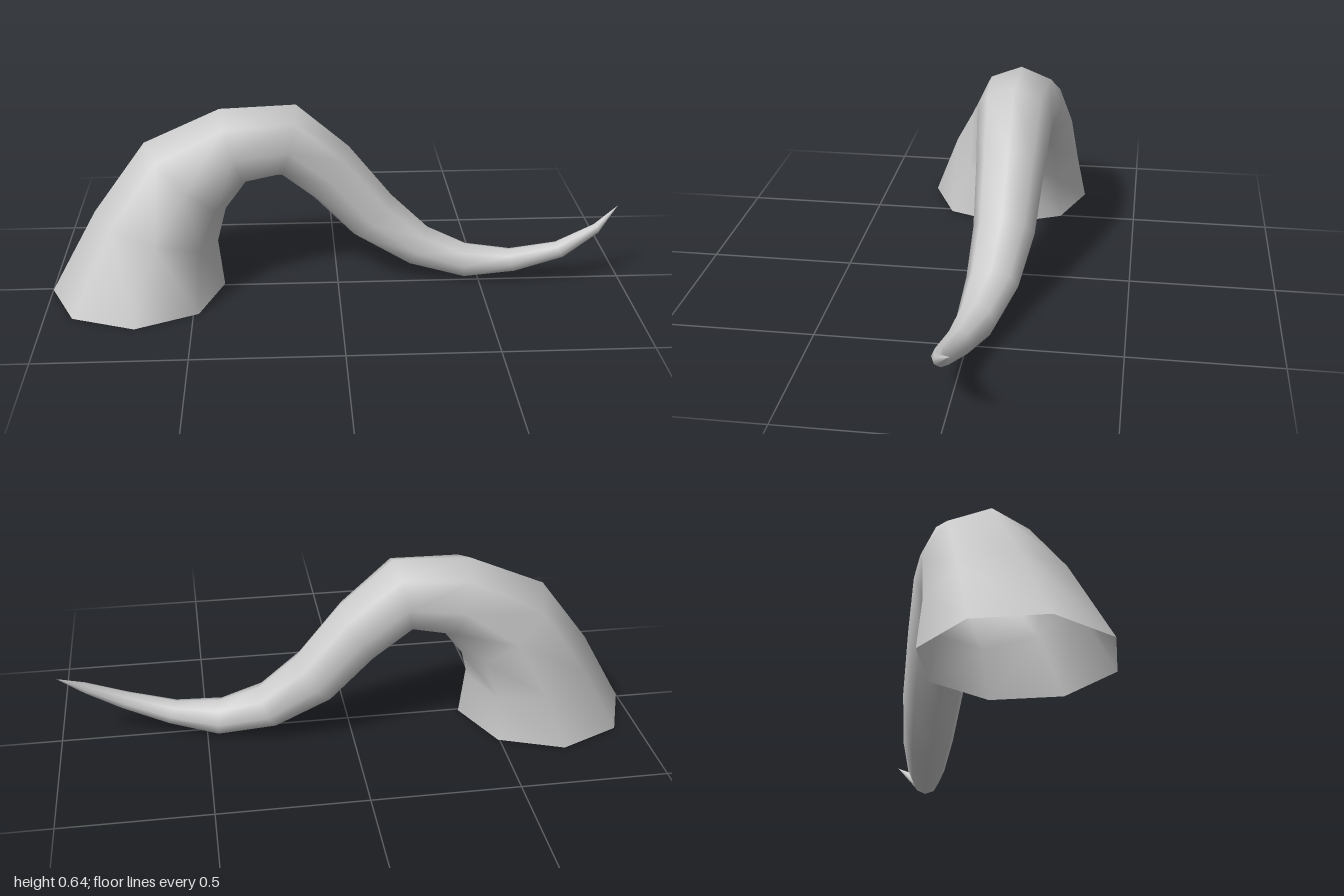
import * as THREE from 'three';

// Horn sections: outer edge x,y / inner edge x,y / z back, z front
const SECTIONS = [
  [-1.0, 0, -0.4, 0, -0.3, 0.3],
  [-0.84, 0.28, -0.42, 0.16, -0.272, 0.205],
  [-0.66, 0.52, -0.39, 0.27, -0.25, 0.125],
  [-0.4, 0.635, -0.315, 0.37, -0.222, 0.083],
  [-0.14, 0.645, -0.2, 0.395, -0.205, 0.06],
  [0.04, 0.49, -0.08, 0.3, -0.192, 0.043],
  [0.19, 0.305, 0.06, 0.155, -0.177, 0.033],
  [0.32, 0.185, 0.25, 0.05, -0.142, 0.035],
  [0.45, 0.13, 0.455, 0.005, -0.09, 0.042],
  [0.6, 0.12, 0.63, 0.04, -0.037, 0.054],
  [0.76, 0.155, 0.79, 0.1, 0, 0.063],
  [0.9, 0.215, 0.91, 0.18, -0.004, 0.034],
  [0.99, 0.265, 0.99, 0.265, -0.03, -0.03],
];
const SIDES = 8;

function hornGeometry() {
  const centres = SECTIONS.map(([ox, oy, ix, iy, z0, z1]) =>
    new THREE.Vector3((ox + ix) / 2, (oy + iy) / 2, (z0 + z1) / 2));
  const last = SECTIONS.length - 1;
  const positions = [], index = [];

  SECTIONS.forEach(([ox, oy, ix, iy, z0, z1], i) => {
    const across = new THREE.Vector3((ox - ix) / 2, (oy - iy) / 2, 0);
    const side = new THREE.Vector3(0, 0, 1);
    // Tilt each section square to the path; the base stays level
    if (i > 0 && i < last) {
      const tangent = centres[i + 1].clone().sub(centres[i - 1]).normalize();
      side.addScaledVector(tangent, -tangent.z).normalize();
    }
    side.multiplyScalar((z1 - z0) / 2);
    for (let j = 0; j < SIDES; j++) {
      const a = (j / SIDES) * Math.PI * 2 + (i === 0 ? 0.03 : 0);
      const p = centres[i].clone()
        .addScaledVector(across, Math.cos(a))
        .addScaledVector(side, Math.sin(a));
      positions.push(p.x, p.y, p.z);
    }
  });

  for (let i = 0; i < last; i++) {
    for (let j = 0; j < SIDES; j++) {
      const k = (j + 1) % SIDES;
      const a = i * SIDES + j, b = i * SIDES + k;
      const c = a + SIDES, d = b + SIDES;
      index.push(a, b, c);
      if (i < last - 1) index.push(b, d, c);
    }
  }

  const geometry = new THREE.BufferGeometry();
  geometry.setAttribute('position', new THREE.Float32BufferAttribute(positions, 3));
  geometry.setIndex(index);
  geometry.computeVertexNormals();
  return geometry;
}

export function createModel() {
  const group = new THREE.Group();
  // Curved horn, open at the base
  const horn = new THREE.Mesh(hornGeometry(), new THREE.MeshStandardMaterial({
    color: 0xcccccc, side: THREE.DoubleSide,
  }));
  horn.name = 'horn';
  group.add(horn);
  return group;
}
